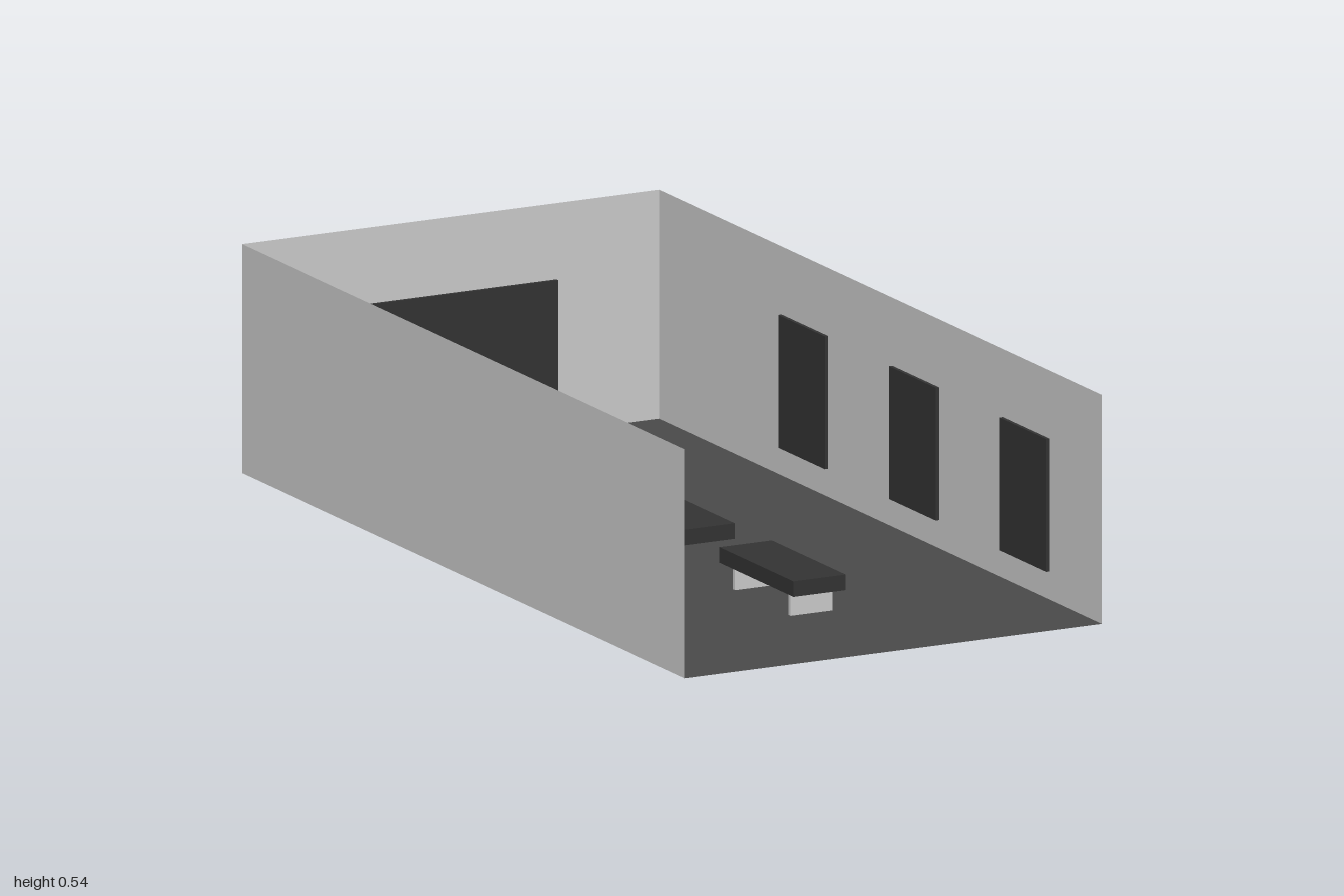
import * as THREE from 'three';

const FLOOR = 0.042, HEIGHT = 0.5;

const surface = (color) => new THREE.MeshStandardMaterial({ color, side: THREE.DoubleSide });
const wallMat = surface(0xcccccc);
const floorMat = surface(0x4a4a4a);
const darkMat = surface(0x333333);

function add(parent, name, geometry, material, x, y, z) {
  const mesh = new THREE.Mesh(geometry, material);
  mesh.name = name;
  mesh.position.set(x, y, z);
  parent.add(mesh);
  return mesh;
}

export function createModel() {
  const room = new THREE.Group();
  room.name = 'room';

  // Thin floor sheet, open at the front and top
  const floor = add(room, 'floor', new THREE.PlaneGeometry(1, 2), floorMat, 0, FLOOR, 0);
  floor.rotation.x = -Math.PI / 2;

  // Back wall with its wide screen
  add(room, 'backWall', new THREE.PlaneGeometry(1, HEIGHT), wallMat, 0, FLOOR + HEIGHT / 2, -1);
  add(room, 'screen', new THREE.BoxGeometry(0.5, 0.25, 0.008), darkMat, 0, 0.252, -0.991);

  // Side walls, each with three tall panels
  for (const [side, s] of [['left', 1], ['right', -1]]) {
    const wall = add(room, side + 'Wall', new THREE.PlaneGeometry(2, HEIGHT), wallMat,
      s * 0.5, FLOOR + HEIGHT / 2, 0);
    wall.rotation.y = -s * Math.PI / 2;
    for (const z of [-0.333, 0.167, 0.667]) {
      add(room, side + 'Panel', new THREE.BoxGeometry(0.008, 0.29, 0.21), darkMat, s * 0.491, 0.251, z);
    }
  }

  // Two benches in line along the middle
  const seat = new THREE.BoxGeometry(0.125, 0.034, 0.333);
  add(room, 'frontBenchSeat', seat, darkMat, 0, 0.11, 0.5);
  add(room, 'rearBenchSeat', seat, darkMat, 0, 0.11, 0);

  // Thin cross legs under the front bench
  for (const z of [0.375, 0.625]) {
    add(room, 'benchLeg', new THREE.BoxGeometry(0.1, 0.051, 0.01), wallMat, 0, FLOOR + 0.025, z);
  }

  // Upright fin passing through the floor under the rear bench
  const fin = add(room, 'floorFin', new THREE.PlaneGeometry(0.083, 0.084), darkMat, 0, FLOOR, 0);
  fin.rotation.y = Math.PI / 2;

  return room;
}
